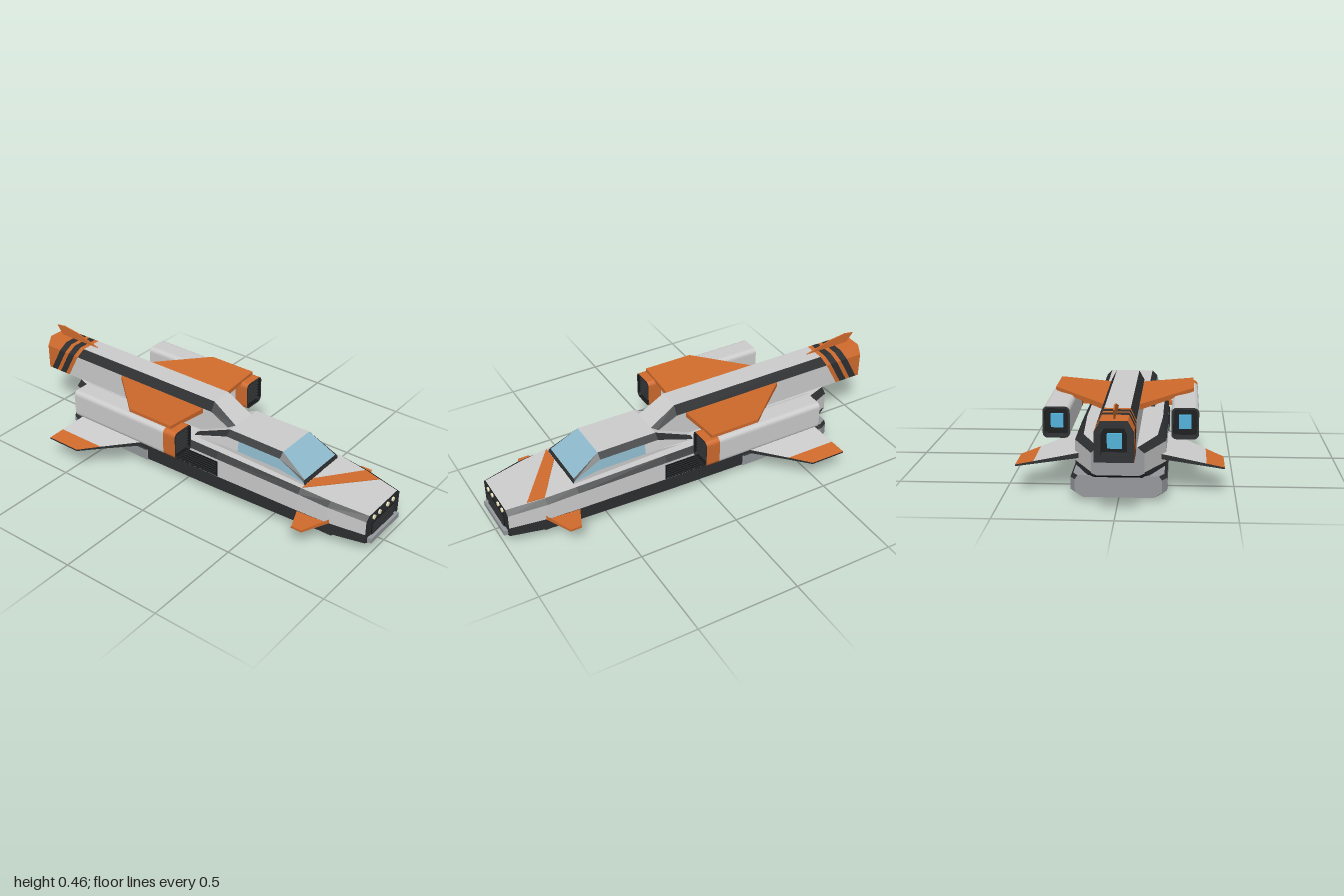
import * as THREE from 'three';

const WHITE = 0xcfcfd1, DARK = 0x2c2e30, BLACK = 0x141617, ORANGE = 0xcf6a2c,
  GLASS = 0x8db9cb, GREY = 0x94979b, GLOW = 0x4fb0d8, TEAL = 0x2a5c66, LAMP = 0xf0e6c0;
const mats = {};
const mat = c => (mats[c] ??= new THREE.MeshStandardMaterial({ color: c, flatShading: true }));

// Collects flat faces by colour and turns them into one mesh per colour
class Part {
  constructor(name) { this.name = name; this.faces = {}; }
  face(pts, color) {
    const list = (this.faces[color] ??= []);
    for (let i = 1; i < pts.length - 1; i++) list.push(...pts[0], ...pts[i], ...pts[i + 1]);
  }
  build(parent) {
    const g = new THREE.Group();
    g.name = this.name;
    for (const [color, list] of Object.entries(this.faces)) {
      const geo = new THREE.BufferGeometry();
      geo.setAttribute('position', new THREE.Float32BufferAttribute(list, 3));
      geo.computeVertexNormals();
      const m = new THREE.Mesh(geo, mat(Number(color)));
      m.name = this.name + 'Surface';
      g.add(m);
    }
    parent.add(g);
    return g;
  }
}

// Skins mirrored half sections [x, y, z] (bottom to top), listed front to back.
// colors[segment] = one colour, or [side strips..., top, bottom]
function loft(parent, name, halves, colors, caps, dx = 0) {
  const part = new Part(name), n = halves[0].length;
  const rings = halves.map(h => [...h, ...[...h].reverse().map(([x, y, z]) => [-x, y, z])]
    .map(([x, y, z]) => [x + dx, y, z]));
  for (let i = 0; i < rings.length - 1; i++) {
    for (let j = 0; j < 2 * n; j++) {
      const k = (j + 1) % (2 * n), c = colors[i];
      const strip = j < n ? j : j === 2 * n - 1 ? n : 2 * n - 2 - j;
      part.face([rings[i][j], rings[i + 1][j], rings[i + 1][k], rings[i][k]], Array.isArray(c) ? c[strip] : c);
    }
  }
  part.face(rings[0], caps[0]);
  part.face([...rings.at(-1)].reverse(), caps[1]);
  return part.build(parent);
}

// Convex plate from a plan outline [x, z]; lower and upper give heights at (x, z)
function plate(parent, name, outline, lower, upper, [top, edge, bottom], side = 1) {
  const part = new Part(name), n = outline.length;
  const lo = outline.map(([x, z]) => [x * side, lower(x, z), z]);
  const hi = outline.map(([x, z]) => [x * side, upper(x, z), z]);
  const mid = new THREE.Vector3();
  [...lo, ...hi].forEach(p => mid.add(new THREE.Vector3(...p)));
  mid.divideScalar(2 * n);
  const add = (pts, c) => {
    const [a, b, d] = pts.map(p => new THREE.Vector3(...p));
    const out = b.clone().sub(a).cross(d.clone().sub(a)).dot(a.clone().sub(mid)) > 0;
    part.face(out ? pts : [...pts].reverse(), c);
  };
  add(hi, top);
  add(lo, bottom);
  for (let i = 0; i < n; i++) add([lo[i], lo[(i + 1) % n], hi[(i + 1) % n], hi[i]], edge);
  return part.build(parent);
}

function box(parent, name, color, [w, h, d], pos) {
  const m = new THREE.Mesh(new THREE.BoxGeometry(w, h, d), mat(color));
  m.name = name;
  m.position.set(...pos);
  parent.add(m);
}

// Half of a rounded rectangle, centred on x = 0
function roundedHalf(w, h, r, y, z) {
  const pts = [];
  for (const [cy, start] of [[y - h + r, -Math.PI / 2], [y + h - r, 0]]) {
    for (let i = 0; i <= 4; i++) {
      const a = start + i * Math.PI / 8;
      pts.push([w - r + r * Math.cos(a), cy + r * Math.sin(a), z]);
    }
  }
  return pts;
}

export function createModel() {
  const ship = new THREE.Group();
  ship.name = 'spaceship';

  // Main hull: z, bottom width and height, side width, three side heights, deck width and height
  const hull = [
    [0.98, 0.115, 0.045, 0.145, 0.06, 0.105, 0.175, 0.12, 0.195],
    [0.8, 0.13, 0.035, 0.178, 0.052, 0.11, 0.192, 0.15, 0.211],
    [0.65, 0.14, 0.03, 0.187, 0.05, 0.112, 0.202, 0.165, 0.225],
    [0.2, 0.16, 0.02, 0.2, 0.045, 0.115, 0.212, 0.178, 0.24],
    [-0.2, 0.16, 0.014, 0.203, 0.04, 0.12, 0.215, 0.178, 0.243],
    [-0.55, 0.16, 0.014, 0.2, 0.04, 0.125, 0.218, 0.162, 0.243],
    [-0.77, 0.09, 0.12, 0.112, 0.13, 0.135, 0.218, 0.083, 0.243],
  ].map(([z, wb, yb, w, y1, y2, y3, wt, yt]) => [[wb, yb, z], [w, y1, z], [w, y2, z], [w, y3, z], [wt, yt, z]]);
  loft(ship, 'hull', hull, hull.map(() => [DARK, DARK, WHITE, DARK, WHITE, BLACK]), [DARK, GREY]);

  // Rear lower block
  const block = [[-0.21, 0.195], [-0.225, 0.207], [-0.69, 0.207], [-0.73, 0.185]].map(([z, w]) =>
    [[w - 0.035, 0.012, z], [w, 0.035, z], [w, 0.09, z], [w - 0.012, 0.108, z]]);
  loft(ship, 'rearBlock', block, block.map(() => [GREY, GREY, DARK, GREY, BLACK]), [DARK, GREY]);

  // Nose: stripe, grille, bumper and lamps
  const deck = (x, z) => 0.195 + (0.98 - z) * 0.0909;
  plate(ship, 'noseStripe', [[-0.16, 0.655], [-0.07, 0.655], [0.148, 0.8], [0.133, 0.88]],
    deck, (x, z) => deck(x, z) + 0.003, [ORANGE, ORANGE, ORANGE]);
  box(ship, 'noseGrille', BLACK, [0.186, 0.066, 0.006], [0, 0.11, 0.981]);
  for (let i = 0; i < 6; i++) box(ship, 'grilleBar', DARK, [0.186, 0.005, 0.008], [0, 0.085 + i * 0.0105, 0.984]);
  box(ship, 'bumper', GREY, [0.245, 0.024, 0.03], [0, 0.066, 0.985]);
  for (const x of [-0.083, -0.035, 0.035, 0.083]) {
    const lamp = new THREE.Mesh(new THREE.CylinderGeometry(0.011, 0.011, 0.012, 16), mat(LAMP));
    lamp.name = 'headlamp';
    lamp.rotation.x = Math.PI / 2;
    lamp.position.set(x, 0.17, 0.981);
    ship.add(lamp);
  }

  // Cockpit
  const canopy = [
    [[0.14, 0.215, 0.655], [0.14, 0.235, 0.65], [0.139, 0.24, 0.645], [0.128, 0.245, 0.645]],
    [[0.14, 0.22, 0.51], [0.14, 0.255, 0.51], [0.132, 0.305, 0.51], [0.107, 0.33, 0.51]],
    [[0.14, 0.22, 0.28], [0.14, 0.255, 0.28], [0.132, 0.305, 0.28], [0.105, 0.33, 0.28]],
    [[0.14, 0.22, 0.21], [0.14, 0.255, 0.21], [0.132, 0.305, 0.21], [0.105, 0.33, 0.21]],
    [[0.14, 0.22, 0.02], [0.14, 0.235, 0.02], [0.135, 0.24, 0.02], [0.105, 0.245, 0.02]],
  ];
  loft(ship, 'cockpit', canopy, [
    [WHITE, GLASS, DARK, GLASS, DARK], [WHITE, GLASS, DARK, WHITE, DARK],
    [WHITE, WHITE, DARK, WHITE, DARK], [WHITE, WHITE, DARK, WHITE, DARK]], [DARK, WHITE]);

  // Dorsal spine with slanted tail stripes and an open engine at the back
  const spineRing = (z, slant = 0) => [[0.08, 0.24], [0.08, 0.365], [0.055, 0.41]]
    .map(([x, y]) => [x, y, z - (0.41 - y) * slant]);
  const nozzle = z => [[0.052, 0.27, z], [0.052, 0.355, z], [0.04, 0.38, z]];
  const body = [WHITE, DARK, WHITE, GREY];
  loft(ship, 'spine', [
    [[0.08, 0.24, 0.21], [0.08, 0.3, 0.21], [0.062, 0.33, 0.21]], spineRing(0.08),
    ...[-0.765, -0.79, -0.828, -0.852, -0.89].map(z => spineRing(z, 0.55)),
    spineRing(-1), nozzle(-1), nozzle(-0.95)],
  [body, body, ORANGE, DARK, ORANGE, DARK, ORANGE, DARK, DARK], [WHITE, BLACK]);
  box(ship, 'spineThruster', GLOW, [0.06, 0.06, 0.02], [0, 0.32, -0.962]);

  // Tail fin
  const finShape = new THREE.Shape([[0.7, 0.405], [0.86, 0.45], [0.95, 0.462], [1, 0.455], [0.96, 0.405]]
    .map(p => new THREE.Vector2(...p)));
  const fin = new THREE.Mesh(new THREE.ExtrudeGeometry(finShape, { depth: 0.006, bevelEnabled: false }), mat(ORANGE));
  fin.name = 'tailFin';
  fin.rotation.y = Math.PI / 2;
  fin.position.x = -0.003;
  ship.add(fin);

  for (const s of [1, -1]) {
    // Upper wing and its strut
    plate(ship, 'upperWing', [[0.07, 0.03], [0.32, 0.03], [0.32, -0.22], [0.07, -0.5]],
      x => 0.34 + (x - 0.08) * 0.125, x => 0.365 + (x - 0.08) * 0.09, [ORANGE, ORANGE, ORANGE], s);
    plate(ship, 'wingStrut', [[0.15, -0.05], [0.24, -0.05], [0.24, -0.2], [0.15, -0.2]],
      x => 0.335 + (x - 0.15) * 0.1, x => 0.352 + (x - 0.15) * 0.1, [DARK, DARK, DARK], s);

    // Engine pod with intake slats and thruster
    const outer = z => roundedHalf(0.06, 0.07, 0.022, 0.297, z);
    const inner = z => roundedHalf(0.052, 0.062, 0.016, 0.297, z);
    loft(ship, 'enginePod',
      [inner(0.04), inner(0.07), outer(0.07), outer(0), outer(-0.56), inner(-0.56), inner(-0.51)],
      [BLACK, DARK, ORANGE, WHITE, DARK, DARK], [BLACK, BLACK], s * 0.281);
    for (let i = 0; i < 7; i++) box(ship, 'intakeSlat', DARK, [0.1, 0.005, 0.02], [s * 0.281, 0.249 + i * 0.016, 0.052]);
    box(ship, 'podThruster', GLOW, [0.055, 0.06, 0.02], [s * 0.281, 0.297, -0.522]);

    // Lower wing with coloured tip
    const low = x => 0.145 - (x - 0.2) * 0.108, high = x => 0.167 - (x - 0.2) * 0.165;
    plate(ship, 'lowerWing', [[0.17, -0.13], [0.375, -0.372], [0.375, -0.628], [0.17, -0.597]],
      low, high, [WHITE, DARK, BLACK], s);
    plate(ship, 'lowerWingTip', [[0.375, -0.372], [0.453, -0.46], [0.453, -0.64], [0.375, -0.628]],
      low, high, [ORANGE, DARK, BLACK], s);

    // Nose canard
    plate(ship, 'canard', [[0.16, 0.82], [0.19, 0.805], [0.303, 0.75], [0.303, 0.695], [0.19, 0.65], [0.16, 0.64]],
      x => 0.11 - (x - 0.17) * 0.02, x => 0.132 - (x - 0.17) * 0.1, [ORANGE, ORANGE, ORANGE], s);

    // Side vent
    box(ship, 'sideVent', BLACK, [0.01, 0.08, 0.27], [s * 0.199, 0.16, 0.075]);
    for (let i = 0; i < 6; i++) box(ship, 'ventSlat', DARK, [0.012, 0.004, 0.26], [s * 0.2, 0.128 + i * 0.0125, 0.075]);

    // Belly lift pads
    for (const [z, y] of [[0.75, 0.027], [0.4, 0.016], [-0.32, 0.007], [-0.61, 0.007]]) {
      box(ship, 'liftPadFrame', DARK, [0.07, 0.014, 0.12], [s * 0.11, y, z]);
      for (const dx of [-0.016, 0.016]) box(ship, 'liftPad', TEAL, [0.026, 0.004, 0.09], [s * 0.11 + dx, y - 0.006, z]);
    }
  }
  // Central lift pad
  box(ship, 'centrePadFrame', DARK, [0.16, 0.016, 0.13], [0, 0.014, 0]);
  for (let i = -1.5; i < 2; i++) box(ship, 'centrePad', TEAL, [0.028, 0.004, 0.11], [i * 0.035, 0.0055, 0]);

  return ship;
}
